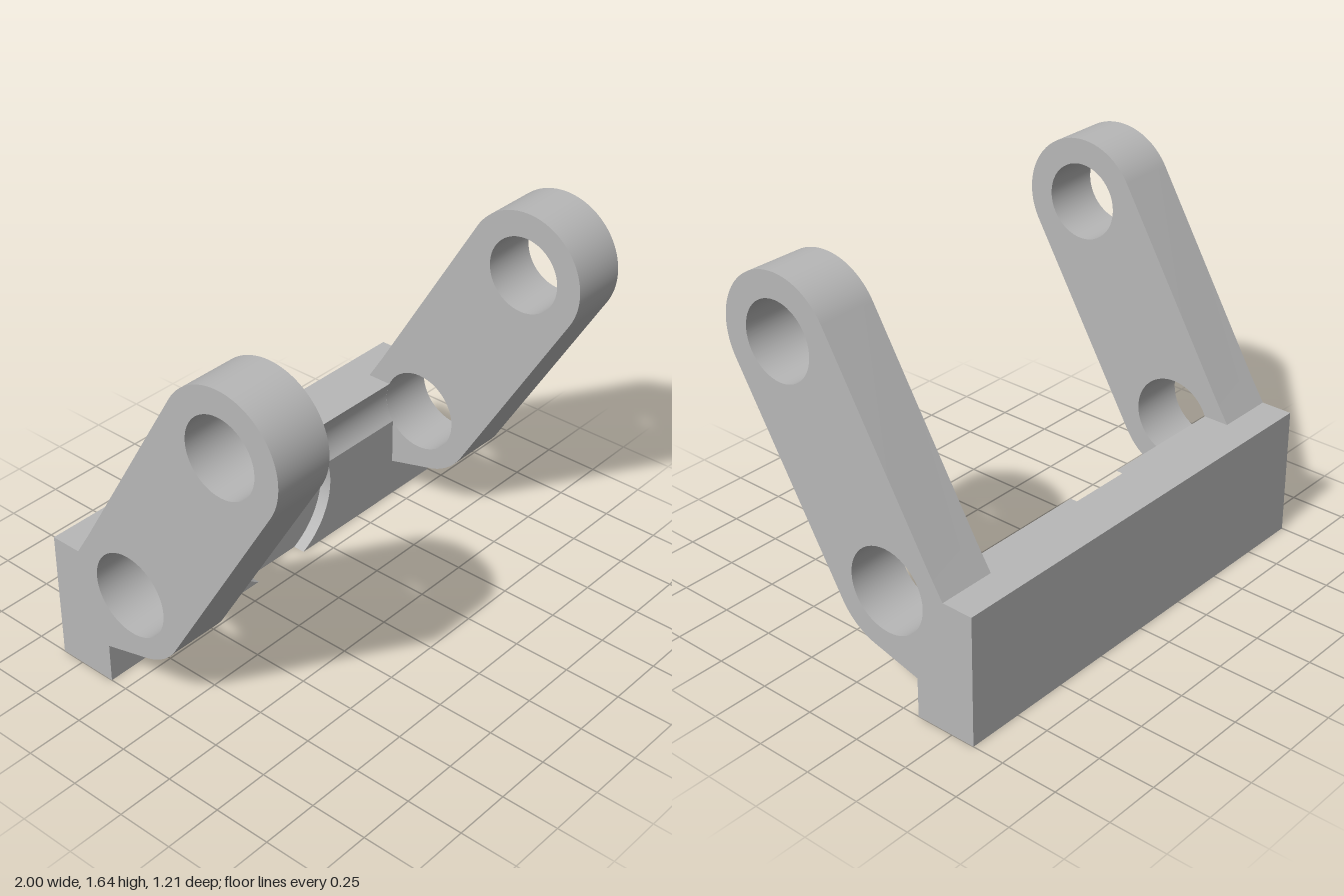
import * as THREE from 'three';
import { toCreasedNormals } from 'three/addons/utils/BufferGeometryUtils.js';

const HALF = 1, ARM_INNER = 0.74, BAR_TOP = 0.573;
const BACK = -0.607, FRONT = -0.329, RECESS = -0.384, RECESS_R = 0.32;
// pivot holes as (-z, y)
const upper = { u: -0.33, y: 1.36, r: 0.167 };
const lower = { u: 0.184, y: 0.501, r: 0.183 };
const ARM_R = 0.277;

// Side profile: slanted arm blending into the end of the bar, with two bores
function armProfile() {
  const a = Math.atan2(upper.u - lower.u, upper.y - lower.y) * -1;
  const s = new THREE.Shape();
  s.absarc(upper.u, upper.y, ARM_R, a, a + Math.PI, false);
  s.absarc(lower.u, lower.y, ARM_R, a + Math.PI, 4.438, false);
  s.lineTo(-FRONT, 0.176);
  s.lineTo(-FRONT, 0);
  s.lineTo(-BACK, 0);
  s.lineTo(-BACK, BAR_TOP);
  s.lineTo(0.467, BAR_TOP);
  s.lineTo(lower.u + ARM_R * Math.cos(a) - 0.026, lower.y + ARM_R * Math.sin(a) + 0.043);
  s.closePath();
  for (const h of [upper, lower]) {
    s.holes.push(new THREE.Path().absarc(h.u, h.y, h.r, 0, Math.PI * 2, true));
  }
  return s;
}

// Front face of the bar, hollowed where the lower bore runs along it
function frontZ(y) {
  const d = lower.r ** 2 - (y - lower.y) ** 2;
  return d > 0 ? Math.min(FRONT, -lower.u - Math.sqrt(d)) : FRONT;
}

// Front layer of the bar on one side, ending in the round recess
function facing(side) {
  const rows = 40;
  const grooveY = lower.y - Math.sqrt(lower.r ** 2 - (FRONT + lower.u) ** 2);
  const rowY = (t) => (t < 0.6 ? (t / 0.6) * grooveY : grooveY + ((t - 0.6) / 0.4) * (BAR_TOP - grooveY));
  const g = new THREE.BoxGeometry(1, 1, 1, 1, rows, 1);
  const p = g.attributes.position;
  for (let i = 0; i < p.count; i++) {
    const y = rowY(p.getY(i) + 0.5);
    const outer = p.getX(i) * side > 0;
    const arcX = Math.sqrt(RECESS_R ** 2 - (y - BAR_TOP / 2) ** 2);
    p.setXYZ(i, side * (outer ? ARM_INNER : arcX), y, p.getZ(i) > 0 ? frontZ(y) : RECESS);
  }
  return toCreasedNormals(g, 0.4);
}

export function createModel() {
  const model = new THREE.Group();
  model.name = 'hingeBracket';
  const grey = new THREE.MeshStandardMaterial({ color: 0xb8b8b8 });
  grey.name = 'grey';
  const add = (name, geometry) => {
    const m = new THREE.Mesh(geometry, grey);
    m.name = name;
    model.add(m);
    return m;
  };

  // Arms with the bar ends
  const arm = toCreasedNormals(new THREE.ExtrudeGeometry(armProfile(), {
    depth: HALF - ARM_INNER, bevelEnabled: false, curveSegments: 24,
  }).rotateY(Math.PI / 2), 0.3);
  add('leftArm', arm).position.x = ARM_INNER;
  add('rightArm', arm).position.x = -HALF;

  // Middle of the bar: rear slab and the two front layers around the recess
  const slab = add('barBack', new THREE.BoxGeometry(ARM_INNER * 2, BAR_TOP, RECESS - BACK));
  slab.position.set(0, BAR_TOP / 2, (RECESS + BACK) / 2);
  add('leftBarFront', facing(1));
  add('rightBarFront', facing(-1));

  return model;
}
